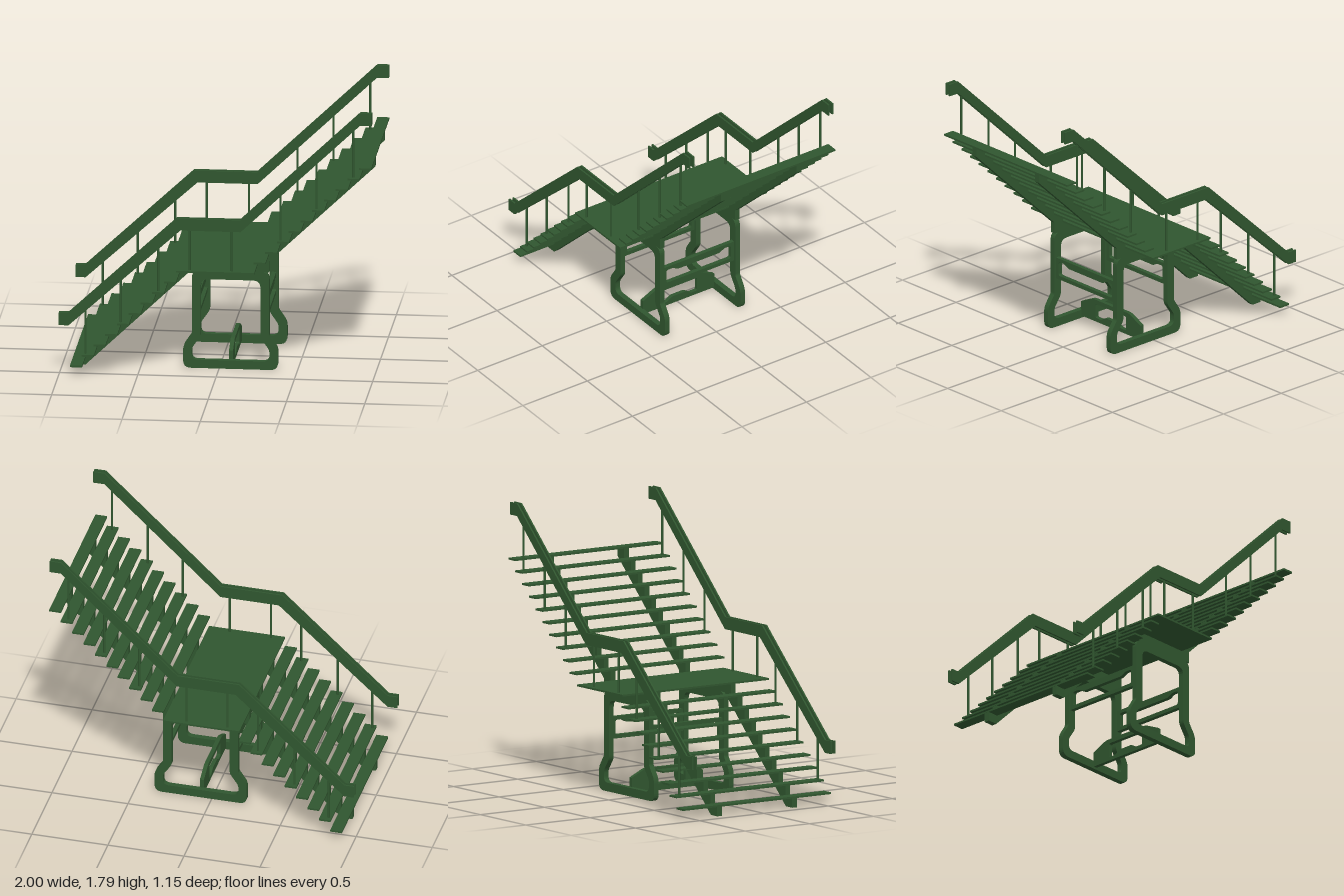
import * as THREE from 'three';

const material = new THREE.MeshStandardMaterial({ color: 0x30562f, side: THREE.DoubleSide });
const RUN = 0.075, RISE = 0.0717, TREAD = 0.012;

function add(parent, name, geometry, x = 0, y = 0, z = 0) {
  const mesh = new THREE.Mesh(geometry, material);
  mesh.name = name;
  mesh.position.set(x, y, z);
  parent.add(mesh);
  return mesh;
}

// Closed outline; each point is [x, y, cornerRadius]
function outline(points, target = new THREE.Shape()) {
  const n = points.length;
  points.forEach((p, i) => {
    const r = p[2] || 0;
    const toward = (q) => {
      const d = Math.hypot(q[0] - p[0], q[1] - p[1]);
      return [p[0] + (q[0] - p[0]) * r / d, p[1] + (q[1] - p[1]) * r / d];
    };
    const a = toward(points[(i + n - 1) % n]), b = toward(points[(i + 1) % n]);
    if (i === 0) target.moveTo(...a); else target.lineTo(...a);
    if (r) target.quadraticCurveTo(p[0], p[1], ...b);
  });
  target.closePath();
  return target;
}

// Flat plate centred on its thickness, with an optional hole
function plate(points, depth, hole) {
  const shape = outline(points);
  if (hole) shape.holes.push(outline(hole, new THREE.Path()));
  const geometry = new THREE.ExtrudeGeometry(shape, { depth, bevelEnabled: false, curveSegments: 6 });
  return geometry.translate(0, 0, -depth / 2);
}

// Adds the mirror image of a half outline
const mirrored = (half) => [...half, ...half.map(([x, y, r]) => [-x, y, r]).reverse()];

export function createModel() {
  const model = new THREE.Group();
  model.name = 'footbridgeStairs';

  // Treads of both flights and the landing between them
  const treads = new THREE.Group();
  treads.name = 'treads';
  model.add(treads);
  const treadGeometry = new THREE.BoxGeometry(0.077, TREAD, 1.15);
  const stepTop = (i) => RISE * (i + 1);
  for (let i = 0; i < 9; i++)
    add(treads, 'lowerTread', treadGeometry, -0.925 + RUN * (i + 0.5), stepTop(i) - TREAD / 2);
  for (let i = 0; i < 10; i++)
    add(treads, 'upperTread', treadGeometry, 0.247 + RUN * (i + 0.5), stepTop(i + 10) - TREAD / 2);
  add(model, 'landing', new THREE.BoxGeometry(0.5, TREAD, 1.14), 0, stepTop(9) - TREAD / 2);

  // Sawtooth stringer running under the whole stair
  const saw = [[-0.855, 0], [-0.925, 0]];
  for (let i = 0; i < 9; i++) {
    const x = -0.925 + RUN * i, y = stepTop(i) - TREAD;
    saw.push([x, y], [x + RUN, y]);
  }
  saw.push([-0.25, stepTop(9) - TREAD], [0.247, stepTop(9) - TREAD]);
  for (let i = 0; i < 10; i++) {
    const x = 0.247 + RUN * i, y = stepTop(i + 10) - TREAD;
    saw.push([x, y], [x + RUN, y]);
  }
  saw.push([0.997, 1.368], [0.318, 0.72], [0.318, 0.645], [-0.18, 0.645]);
  const stringer = plate(saw, 0.036);

  // Splayed base frame with rounded corners
  const frame = plate(
    [[-0.23, 0, 0.05], [0.376, 0, 0.05], [0.376, 0.145, 0.03], [0.32, 0.228, 0.01],
      [0.32, 0.646, 0.05], [-0.174, 0.646, 0.05], [-0.174, 0.228, 0.01], [-0.23, 0.145, 0.03]],
    0.036,
    [[-0.175, 0.055, 0.04], [0.321, 0.055, 0.04], [0.321, 0.13, 0.02], [0.264, 0.212, 0.02],
      [0.264, 0.59, 0.05], [-0.118, 0.59, 0.05], [-0.118, 0.212, 0.02], [-0.175, 0.13, 0.02]]);

  // Handrail side board
  const railBoard = plate(
    [[-1, 0.332], [-0.937, 0.332], [-0.222, 0.982], [0.162, 0.982], [0.925, 1.71], [1, 1.71],
      [1, 1.79], [0.925, 1.79], [0.16, 1.06], [-0.245, 1.06], [-0.937, 0.414], [-1, 0.414]],
    0.011);

  // Posts: [x, bottom, top]
  const posts = [
    [-0.83, 0.14, 0.465], [-0.605, 0.355, 0.67], [-0.365, 0.57, 0.885], [-0.165, 0.715, 1.02],
    [0.105, 0.715, 1.02], [0.415, 0.925, 1.26], [0.645, 1.14, 1.48], [0.88, 1.355, 1.7]];

  for (const side of [1, -1]) {
    add(model, 'stringer', stringer, 0, 0, side * 0.292);
    add(model, 'baseFrame', frame, 0, 0, side * 0.292);
    const rail = new THREE.Group();
    rail.name = 'handrail';
    model.add(rail);
    for (const z of [0.525, 0.554]) add(rail, 'railBoard', railBoard, 0, 0, side * z);
    for (const [x, bottom, top] of posts)
      add(rail, 'post', new THREE.CylinderGeometry(0.0075, 0.0075, top - bottom, 10),
        x, (top + bottom) / 2, side * 0.54);
  }

  // Cross braces between the two base frames
  const upperBrace = plate(
    mirrored([[0.278, 0.335], [0.278, 0.478]]), 0.028,
    mirrored([[0.25, 0.36, 0.015], [0.25, 0.455, 0.015], [0.2, 0.455, 0.01], [0.16, 0.434, 0.01]]));
  const lowerBrace = plate(
    mirrored([[0.278, 0.015], [0.278, 0.113], [0.17, 0.164, 0.02]]), 0.026,
    mirrored([[0.05, 0.065, 0.01], [0.09, 0.04, 0.01], [0.142, 0.04, 0.01], [0.142, 0.135, 0.01]]));
  for (const x of [-0.146, 0.292]) add(model, 'upperBrace', upperBrace, x).rotation.y = Math.PI / 2;
  add(model, 'lowerBrace', lowerBrace, 0.073).rotation.y = Math.PI / 2;

  return model;
}
